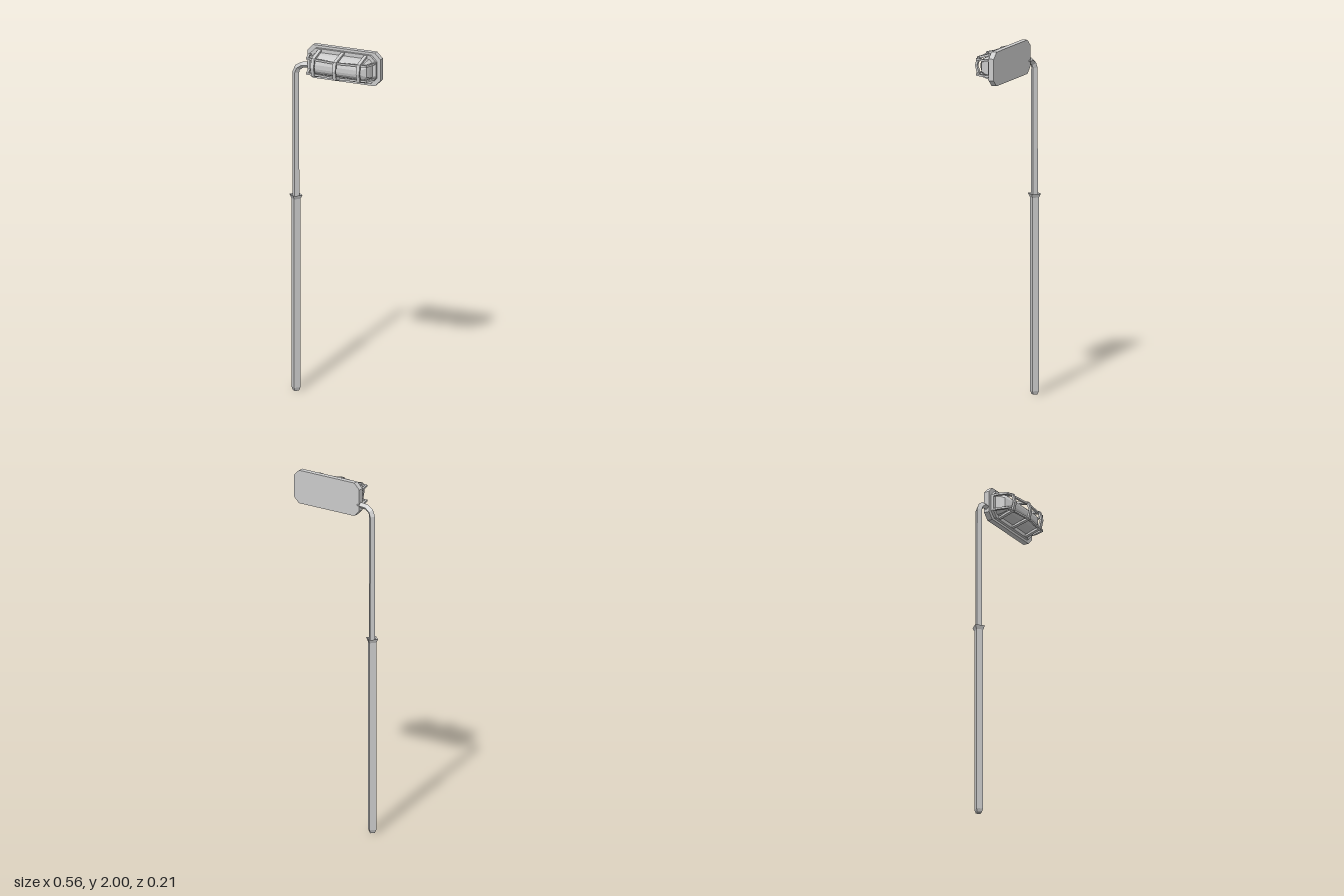
import * as THREE from 'three';

const material = new THREE.MeshStandardMaterial({ color: 0xcccccc, flatShading: true });

function mesh(name, geometry, parent) {
  const m = new THREE.Mesh(geometry, material);
  m.name = name;
  parent.add(m);
  return m;
}

// Skin a series of rings (counter-clockwise seen from the far end) and cap both ends
function loft(rings) {
  const n = rings[0].length, index = [];
  rings.slice(1).forEach((_, i) => {
    for (let j = 0; j < n; j++) {
      const a = i * n + j, b = i * n + (j + 1) % n;
      index.push(a, b, b + n, a, b + n, a + n);
    }
  });
  const last = (rings.length - 1) * n;
  for (let j = 1; j < n - 1; j++) {
    index.push(0, j + 1, j, last, last + j, last + j + 1);
  }
  const g = new THREE.BufferGeometry();
  g.setAttribute('position', new THREE.Float32BufferAttribute(rings.flat(2), 3));
  g.setIndex(index);
  const flat = g.toNonIndexed();
  flat.computeVertexNormals();
  return flat;
}

// Diamond section at a point, leaning by angle a towards +x
function diamond(x, y, z, r, a = 0) {
  const dx = r * Math.cos(a), dy = -r * Math.sin(a);
  return [[x + dx, y + dy, z], [x, y, z - r], [x - dx, y - dy, z], [x, y, z + r]];
}

// Rectangle outline with cut corners; w and h are half sizes
function cutRect(w, h, c) {
  return [[w, -h + c], [w, h - c], [w - c, h], [c - w, h], [-w, h - c], [-w, c - h], [c - w, -h], [w - c, -h]];
}

function plate(w, h, c, z0, z1) {
  return loft([z0, z1].map(z => cutRect(w, h, c).map(([x, y]) => [x, y, z])));
}

// Symmetric bent strip: half profile from foot to crown, mirrored
function strip(half, thickness, width) {
  const mirror = p => [...p, ...p.slice(0, -1).reverse().map(([u, v]) => [-u, v])];
  const inner = half.map(([u, v], i) => [u === 0 ? 0 : u - thickness, i === 0 ? v : v - thickness]);
  const outline = [...mirror(half), ...mirror(inner).reverse()];
  const g = new THREE.ExtrudeGeometry(
    new THREE.Shape(outline.map(([u, v]) => new THREE.Vector2(u, v))),
    { depth: width, bevelEnabled: false });
  return g.translate(0, 0, -width / 2).rotateX(Math.PI / 2);
}

export function createModel() {
  const model = new THREE.Group();
  model.name = 'lampPost';
  const px = -0.239, pz = -0.067;

  // Lower pole with tapered foot and flared, dished collar
  mesh('lowerPole', loft([[0, 0.018], [0.02, 0.027], [1.1, 0.027], [1.122, 0.039], [1.118, 0.028], [1.1, 0.02]]
    .map(([y, r]) => diamond(px, y, pz, r))), model);

  // Upper pole bending over into the side arm
  mesh('upperPoleAndArm', loft([
    diamond(px, 1.09, pz, 0.02),
    diamond(px, 1.825, pz, 0.019, 0.15),
    diamond(-0.228, 1.852, -0.064, 0.018, 0.7),
    diamond(-0.2, 1.871, -0.061, 0.017, 1.2),
    diamond(-0.148, 1.878, -0.062, 0.017, 1.5),
  ]), model);

  // Lamp head, turned slightly
  const head = new THREE.Group();
  head.name = 'lampHead';
  head.position.set(0.057, 1.905, -0.045);
  head.rotation.y = -0.068;
  model.add(head);

  mesh('backPlate', plate(0.22, 0.095, 0.034, -0.0155, 0.0155), head);
  mesh('gasket', plate(0.2, 0.081, 0.034, 0.0155, 0.031), head);

  // Faceted lens bulging forward
  mesh('lens', loft([[0.18, 0.06, 0.03], [0.176, 0.056, 0.06], [0.168, 0.045, 0.086], [0.138, 0.026, 0.106], [0.132, 0.012, 0.11]]
    .map(([w, h, z]) => cutRect(w, h, Math.min(0.02, h * 0.5)).map(([x, y]) => [x, y, z]))), head);

  // Guard cage: two long bars and three cross bands
  for (const s of [-1, 1]) {
    const bar = mesh(s < 0 ? 'lowerGuardBar' : 'upperGuardBar',
      strip([[0.199, 0.028], [0.198, 0.06], [0.182, 0.113], [0, 0.133]], 0.01, 0.011), head);
    bar.position.y = s * 0.043;
  }
  for (const [x, crown] of [[-0.137, 0.137], [0, 0.151], [0.137, 0.137]]) {
    const band = mesh('guardBand',
      strip([[0.079, 0.028], [0.051, crown - 0.013], [0, crown]], 0.011, 0.019).rotateZ(Math.PI / 2), head);
    band.position.x = x;
  }
  return model;
}
